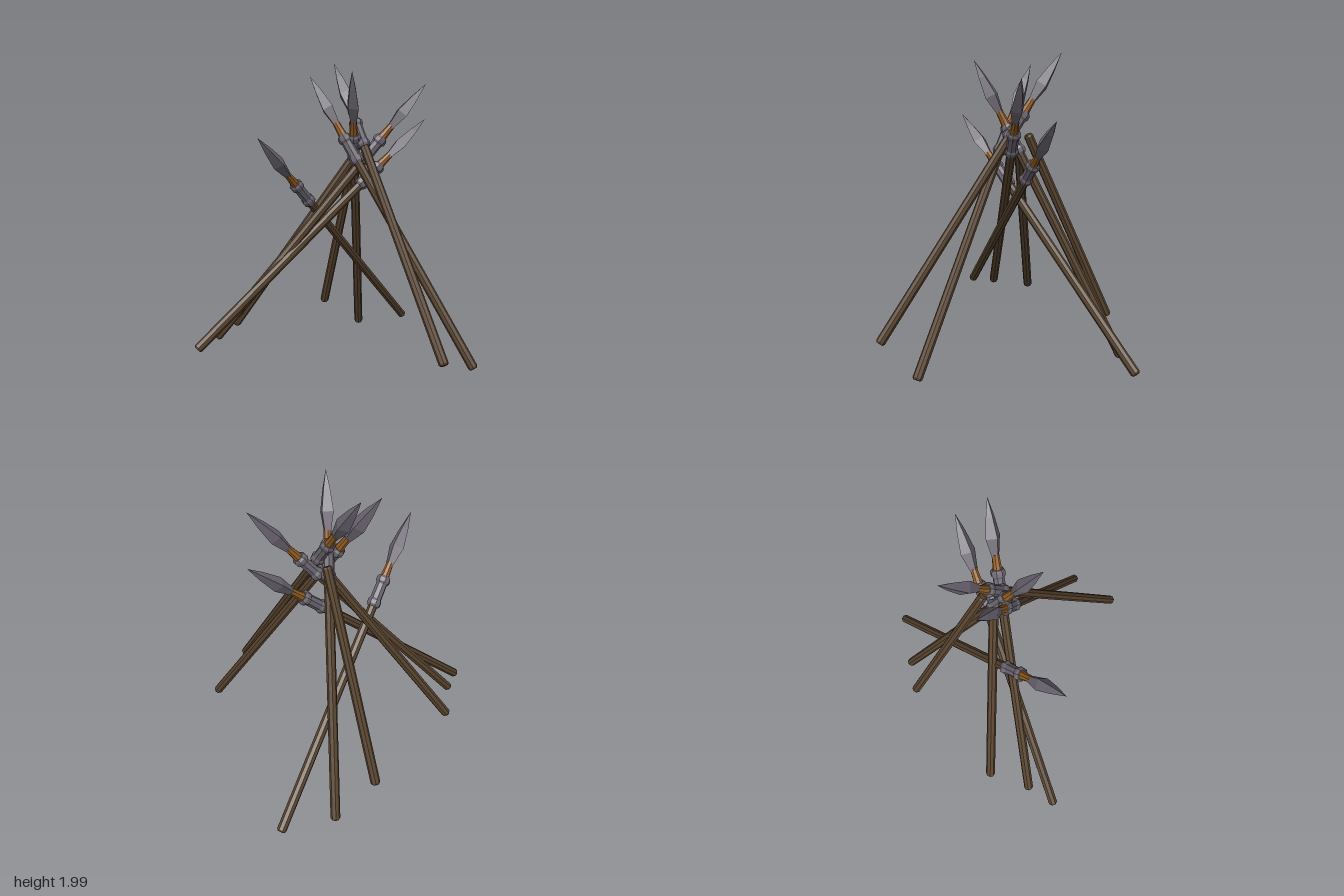
import * as THREE from 'three';

const UP = new THREE.Vector3(0, 1, 0);
const SPEAR_LENGTH = 2.17;
const wood = new THREE.MeshStandardMaterial({ name: 'darkWood', color: 0x57432e, flatShading: true });
const steel = new THREE.MeshStandardMaterial({ name: 'greySteel', color: 0x6b6570, flatShading: true });
const leather = new THREE.MeshStandardMaterial({ name: 'orangeBinding', color: 0x8f5a20, flatShading: true });

// Turns a [radius, height] profile around the spear's axis
function turned(name, profile, sides, material) {
  const points = profile.map(([r, y]) => new THREE.Vector2(r, y));
  const mesh = new THREE.Mesh(new THREE.LatheGeometry(points, sides), material);
  mesh.name = name;
  return mesh;
}

// Round pole with slightly bevelled ends
function shaft(length) {
  return turned('shaft', [
    [0, 0], [0.024, 0], [0.031, 0.012], [0.03, length - 0.012], [0.024, length], [0, length],
  ], 8, wood);
}

// Socket, binding and four-sided blade; heights count from the butt
function spearHead() {
  const head = new THREE.Group();
  head.name = 'spearHead';
  const L = SPEAR_LENGTH;
  head.add(turned('socket', [
    [0, L - 0.665], [0.036, L - 0.665], [0.045, L - 0.65], [0.045, L - 0.625], [0.037, L - 0.61],
    [0.036, L - 0.51], [0.046, L - 0.495], [0.046, L - 0.47], [0.036, L - 0.455], [0, L - 0.455],
  ], 8, steel));
  head.add(turned('binding', [
    [0.03, L - 0.46], [0.026, L - 0.42], [0.023, L - 0.36], [0, L - 0.36],
  ], 8, leather));
  const blade = turned('blade', [
    [0, L - 0.39], [0.024, L - 0.385], [0.052, L - 0.25], [0.03, L - 0.12], [0, L],
  ], 4, steel);
  blade.scale.z = 0.88;
  head.add(blade);
  return head;
}

// Stands a group at its butt and points it along a direction
function lean(group, from, to) {
  const butt = new THREE.Vector3(...from);
  const direction = new THREE.Vector3(...to).sub(butt).normalize();
  group.position.copy(butt);
  group.quaternion.setFromUnitVectors(UP, direction);
  return group;
}

export function createModel() {
  const model = new THREE.Group();
  model.name = 'spearStack';

  // Complete spears: butt and tip
  const spears = [
    [[-0.47, 0.04, -0.92], [-0.265, 1.56, 0.63]],
    [[-0.655, 0.015, -0.615], [0.02, 1.95, 0.10]],
    [[-0.63, 0.22, 0.72], [0.12, 1.87, -0.49]],
    [[-0.57, 0.2, 0.91], [-0.02, 1.62, -0.64]],
    [[0.73, 0.105, -0.275], [-0.42, 1.91, 0.06]],
    [[0.775, 0.235, 0.075], [-0.465, 2.0, -0.195]],
  ];
  for (const [butt, tip] of spears) {
    const spear = new THREE.Group();
    spear.name = 'spear';
    spear.add(shaft(SPEAR_LENGTH - 0.62), spearHead());
    model.add(lean(spear, butt, tip));
  }

  // Plain poles without heads: butt and upper end
  const poles = [
    [[-0.775, 0.21, -0.365], [-0.22, 1.46, -0.17]],
    [[-0.77, 0.22, 0.47], [-0.18, 1.39, -0.11]],
  ];
  for (const [butt, end] of poles) {
    const pole = new THREE.Group();
    pole.name = 'plainPole';
    pole.add(shaft(1.41));
    model.add(lean(pole, butt, end));
  }
  return model;
}
